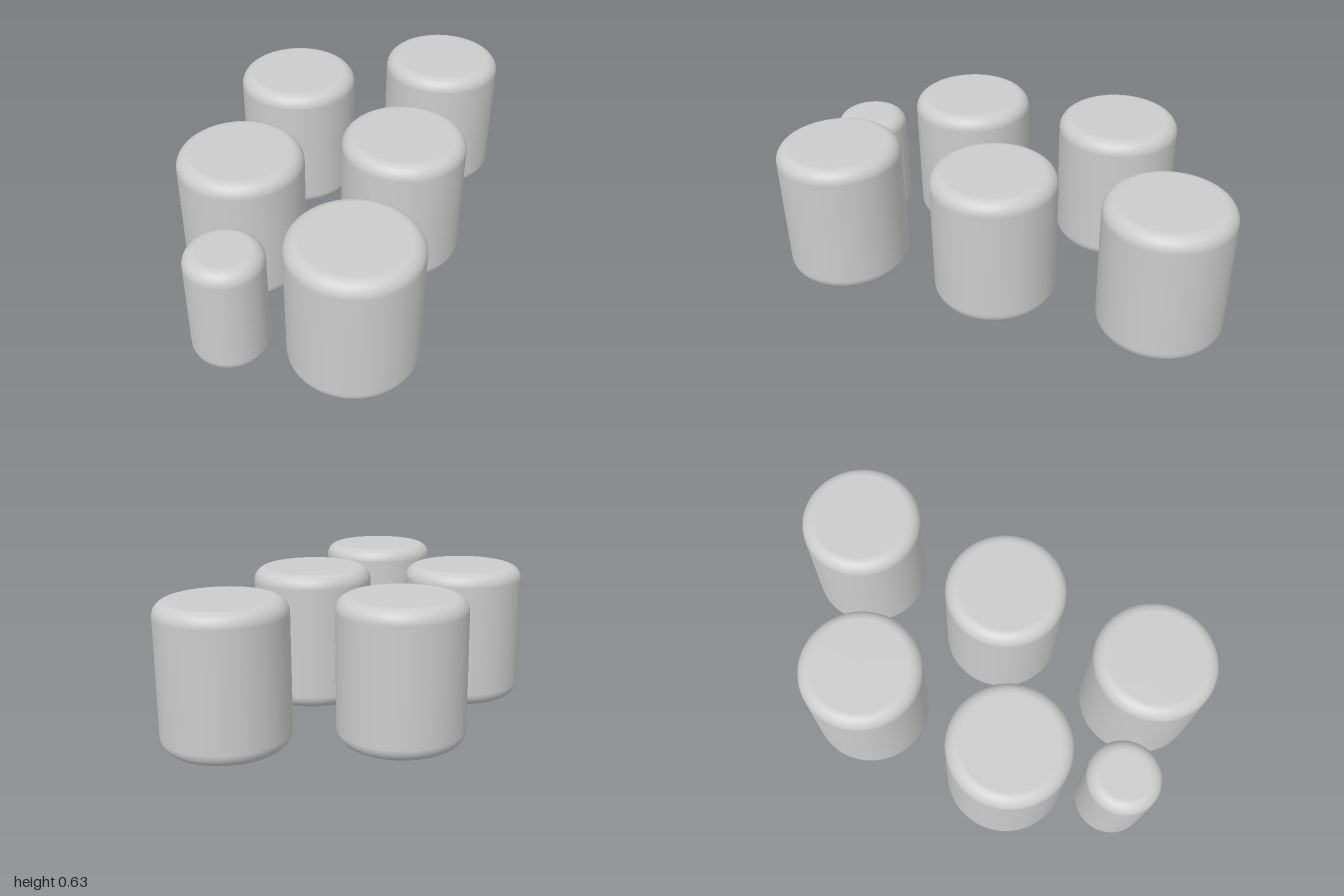
import * as THREE from 'three';

const material = new THREE.MeshStandardMaterial({ color: 0xcccccc });

// Solid upright cylinder with rounded top and bottom rims
function roundedCylinder(radius, bottom, top, fillet, steps = 10) {
  const points = [new THREE.Vector2(0, bottom)];
  const addRim = (y, from) => {
    for (let i = 0; i <= steps; i++) {
      const a = from + (i / steps) * Math.PI / 2;
      points.push(new THREE.Vector2(radius - fillet + Math.cos(a) * fillet, y + Math.sin(a) * fillet));
    }
  };
  addRim(bottom + fillet, -Math.PI / 2);
  addRim(top - fillet, 0);
  points.push(new THREE.Vector2(0, top));
  return new THREE.LatheGeometry(points, 72);
}

export function createModel() {
  const group = new THREE.Group();
  const add = (name, geometry, x, z) => {
    const mesh = new THREE.Mesh(geometry, material);
    mesh.name = name;
    mesh.position.set(x, 0, z);
    group.add(mesh);
  };

  // Two staggered rows of large cylinders
  const large = roundedCylinder(0.27, 0.017, 0.633, 0.06);
  [-0.73, 0.008, 0.728].forEach((z, i) => add(`leftRowCylinder${i + 1}`, large, 0.31, z));
  [-0.374, 0.341].forEach((z, i) => add(`rightRowCylinder${i + 1}`, large, -0.313, z));

  // Small cylinder at the front of the right row
  add('smallCylinder', roundedCylinder(0.162, 0, 0.519, 0.058), -0.185, 0.823);

  return group;
}
